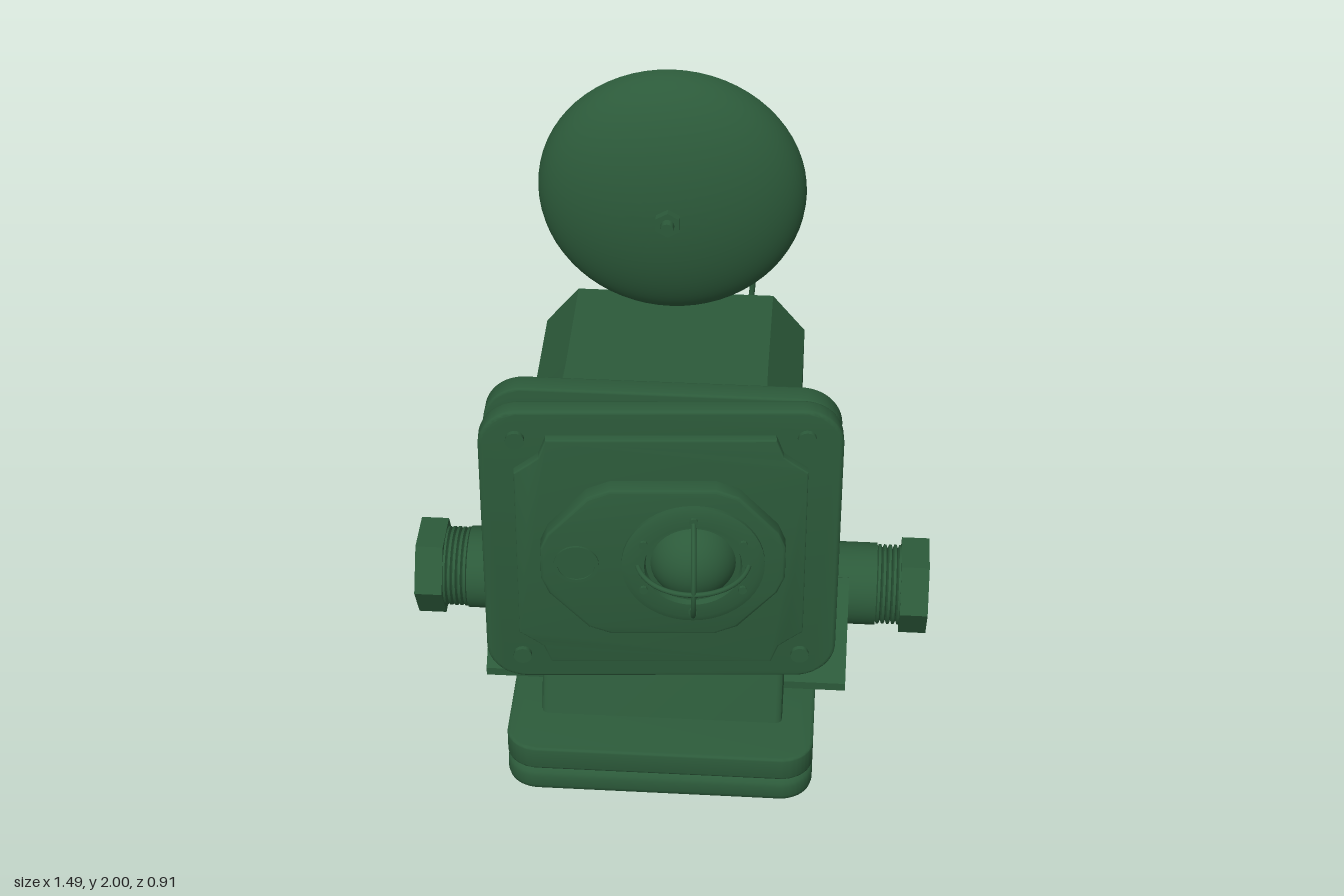
import * as THREE from 'three';
import { toCreasedNormals } from 'three/addons/utils/BufferGeometryUtils.js';

const green = new THREE.MeshStandardMaterial({ color: 0x2c5a3a, side: THREE.DoubleSide });

function add(parent, name, geo, x = 0, y = 0, z = 0) {
  const m = new THREE.Mesh(geo, green);
  m.name = name;
  m.position.set(x, y, z);
  parent.add(m);
  return m;
}

// Rounded rectangle centred on the origin
function roundRect(w, h, r) {
  const s = new THREE.Shape(), q = Math.PI / 2;
  [[1, 1], [-1, 1], [-1, -1], [1, -1]].forEach(([sx, sy], i) =>
    s.absarc(sx * (w / 2 - r), sy * (h / 2 - r), r, i * q, (i + 1) * q, false));
  s.closePath();
  return s;
}

const polygon = (pts) => new THREE.Shape(pts.map((p) => new THREE.Vector2(...p)));
const ngon = (n, r, a = 0) => Array.from({ length: n }, (_, i) =>
  [r * Math.cos(a + (i * 2 * Math.PI) / n), r * Math.sin(a + (i * 2 * Math.PI) / n)]);

// Extrusion from z = 0 to z = depth, with an optional bevel kept inside the outline
function plate(shape, depth, bevel = 0) {
  const g = new THREE.ExtrudeGeometry(shape, {
    depth: depth - 2 * bevel, bevelEnabled: bevel > 0, bevelSize: bevel, bevelThickness: bevel,
    bevelOffset: -bevel, bevelSegments: 3, curveSegments: 10,
  });
  g.translate(0, 0, bevel);
  return toCreasedNormals(g, 0.6);
}

// Turned part whose axis runs along z; profile is [radius, z]
const turned = (pts, seg = 32) => toCreasedNormals(
  new THREE.LatheGeometry(pts.map((p) => new THREE.Vector2(...p)), seg).rotateX(Math.PI / 2), 0.6);
const rod = (r, z0, z1, seg = 20) => turned([[0, z0], [r, z0], [r, z1], [0, z1]], seg);

// Closed solid through matching cross-sections, each { z, pts }
function loft(sections) {
  const pos = [], n = sections[0].pts.length;
  const at = (s, i) => [...sections[s].pts[i % n], sections[s].z];
  for (let s = 0; s < sections.length - 1; s++)
    for (let i = 0; i < n; i++) {
      const a = at(s, i), b = at(s, i + 1), c = at(s + 1, i + 1), d = at(s + 1, i);
      pos.push(...a, ...b, ...c, ...a, ...c, ...d);
    }
  const e = sections.length - 1;
  for (let i = 1; i < n - 1; i++)
    pos.push(...at(0, 0), ...at(0, i + 1), ...at(0, i), ...at(e, 0), ...at(e, i), ...at(e, i + 1));
  const g = new THREE.BufferGeometry();
  g.setAttribute('position', new THREE.Float32BufferAttribute(pos, 3));
  g.computeVertexNormals();
  return g;
}

const chamfered = (w, y0, y1, cx, top, bot) => [
  [w, y0 + bot], [w, y1 - top], [w - cx, y1], [cx - w, y1],
  [-w, y1 - top], [-w, y0 + bot], [cx - w, y0], [w - cx, y0]];

function buildBase(g) {
  const slab = (w, d, h, bevel) => plate(roundRect(w, d, 0.09), h, bevel).rotateX(-Math.PI / 2);
  add(g, 'baseFoot', slab(0.86, 0.75, 0.08, 0.025), 0, 0, -0.035);
  add(g, 'baseGroove', slab(0.83, 0.72, 0.03), 0, 0.07, -0.035);
  add(g, 'basePlate', slab(0.86, 0.75, 0.075, 0.008), 0, 0.085, -0.035);
  // Side outline [-z, y] extruded across x
  const side = polygon([[-0.19, 0.15], [0.37, 0.15], [0.39, 0.3], [0.38, 0.43], [-0.1, 0.43]]);
  add(g, 'pedestal', plate(side, 0.68, 0.02).rotateY(Math.PI / 2), -0.34);
}

function buildArms(g) {
  const gusset = polygon([[-0.035, 0.16], [0.33, 0.16], [0.33, 0.3], [0.2, 0.385], [0.13, 0.35], [-0.035, 0.185]]);
  const nutShape = polygon(ngon(6, 0.14));
  nutShape.holes.push(new THREE.Path(ngon(6, 0.108).reverse().map((p) => new THREE.Vector2(...p))));
  for (const s of [1, -1]) {
    add(g, 'gusset', plate(gusset, 0.18).rotateY(Math.PI / 2), s > 0 ? 0.335 : -0.515);
    const arm = new THREE.Group();
    arm.name = 'cableGland';
    arm.position.set(0, 0.295, -0.29);
    arm.rotation.y = (s * Math.PI) / 2;
    g.add(arm);
    add(arm, 'pipe', rod(0.12, 0, 0.595, 36));
    const thread = [[0, 0.58]];
    for (let i = 0; i < 5; i++) {
      const z = 0.595 + i * 0.015;
      thread.push([0.105, z], [0.116, z + 0.004], [0.116, z + 0.011], [0.105, z + 0.015]);
    }
    add(arm, 'thread', turned([...thread, [0, 0.67]], 36));
    add(arm, 'glandNut', plate(nutShape, 0.08), 0, 0, 0.665);
    add(arm, 'glandPlug', rod(0.115, 0.665, 0.69, 6));
  }
}

function buildHousing(g) {
  const oct = chamfered(0.36, 0.42, 1.22, 0.09, 0.11, 0.04);
  add(g, 'housing', loft([
    { z: -0.39, pts: oct }, { z: -0.03, pts: oct },
    { z: 0.11, pts: chamfered(0.28, 0.42, 1.22, 0.008, 0.008, 0.008) }]));
  add(g, 'flange', plate(roundRect(0.945, 0.89, 0.11), 0.062, 0.006), 0, 0.82, 0.104);
  add(g, 'gasket', plate(roundRect(0.46, 0.8, 0.05), 0.03), 0, 0.82, 0.16);
  // Mounting bosses on the back, each with a blind hole
  const boss = turned([[0.07, 0], [0.058, -0.06], [0.032, -0.06], [0.032, -0.02], [0, -0.02]], 24);
  for (const x of [-0.265, 0.265]) for (const y of [0.645, 1.025]) add(g, 'mountingBoss', boss, x, y, -0.39);
}

function buildDoor(g) {
  const door = new THREE.Group();
  door.name = 'door';
  door.position.set(0, 0.82, 0.195);
  door.rotation.y = 0.07;
  g.add(door);
  add(door, 'doorSlab', plate(roundRect(0.955, 0.9, 0.11), 0.055, 0.01));

  // Raised panel, cut back at the corners around the screws
  const q = [[0.385, 0.27], [0.345, 0.3], [0.32, 0.32], [0.3, 0.375]];
  const rev = [...q].reverse();
  const panel = [...q, ...rev.map(([x, y]) => [-x, y]), ...q.map(([x, y]) => [-x, -y]), ...rev.map(([x, y]) => [x, -y])];
  add(door, 'doorPanel', plate(polygon(panel), 0.035, 0.004), 0, 0, 0.045);
  for (const x of [-0.38, 0.38]) for (const y of [-0.365, 0.365])
    add(door, 'doorScrew', rod(0.025, 0.05, 0.068, 16), x, y);

  const top = [[0.325, 0.05], [0.305, 0.1], [0.2, 0.218], [0.14, 0.242], [-0.14, 0.242], [-0.2, 0.218], [-0.305, 0.1], [-0.325, 0.05]];
  const bottom = top.map(([x, y]) => [-x, -y]);
  add(door, 'facePlate', plate(polygon([...top, ...bottom]), 0.055, 0.008), 0.005, 0.003, 0.07);
  add(door, 'buttonRing', turned([[0.06, 0.12], [0.06, 0.131], [0.05, 0.131], [0.05, 0.127], [0, 0.127]]), -0.225, 0.005);

  // Lamp with its guard
  const lamp = new THREE.Group();
  lamp.name = 'lamp';
  lamp.position.set(0.085, 0.008, 0);
  door.add(lamp);
  add(lamp, 'lampFlange', turned([[0.19, 0.12], [0.19, 0.135], [0.172, 0.142], [0.13, 0.142], [0.125, 0.12]], 48));
  add(lamp, 'lampGlobe', new THREE.SphereGeometry(0.122, 36, 24), 0, 0, 0.08);
  for (const [x, y] of ngon(6, 0.152, Math.PI / 6)) add(lamp, 'lampScrew', rod(0.012, 0.135, 0.15, 10), x, y);
  for (const turn of [0, Math.PI / 2]) {
    const hoop = add(lamp, 'guardHoop', new THREE.TorusGeometry(0.15, 0.007, 8, 40, Math.PI).rotateX(Math.PI / 2), 0, 0, 0.11);
    hoop.rotation.z = turn;
  }
}

function buildBell(g) {
  const bell = new THREE.Group();
  bell.name = 'bell';
  bell.position.set(0, 1.645, 0);
  g.add(bell);
  // Shell of half an ellipse: outside from rim to crown, then back along the inside
  const shell = [], N = 18;
  for (let i = 0; i <= N; i++) {
    const a = (i / N) * Math.PI / 2;
    shell.push([0.355 * Math.cos(a), -0.24 + 0.167 * Math.sin(a)]);
  }
  for (let i = N; i >= 0; i--) {
    const a = (i / N) * Math.PI / 2;
    shell.push([0.345 * Math.cos(a), -0.24 + 0.155 * Math.sin(a)]);
  }
  shell.push(shell[0]);
  add(bell, 'gong', turned(shell, 64));
  add(bell, 'gongNut', rod(0.036, -0.08, -0.053, 6));
  add(bell, 'gongBolt', rod(0.018, -0.06, -0.03, 16));
  add(bell, 'gongRod', rod(0.027, -0.42, -0.08));

  // Upright strap with a round top
  const strap = new THREE.Shape();
  strap.moveTo(-0.055, 0.92).lineTo(0.055, 0.92).lineTo(0.055, 1.65);
  strap.absarc(0, 1.65, 0.055, 0, Math.PI, false);
  strap.closePath();
  add(g, 'strap', plate(strap, 0.014), 0, 0, -0.408);
  for (const [x, y] of [[-0.027, 0.97], [0.027, 0.97], [0, 1.15]]) add(g, 'strapRivet', rod(0.011, -0.412, -0.4, 10), x, y);

  // Hammer, its bent wire and the pivot on the back
  const path = new THREE.CatmullRomCurve3([
    [0.28, 1.63, -0.22], [0.27, 1.6, -0.27], [0.25, 1.5, -0.34], [0.215, 1.27, -0.42],
    [0.205, 1.17, -0.425], [0.16, 1.0, -0.42], [0.14, 0.98, -0.41]].map((p) => new THREE.Vector3(...p)));
  add(g, 'hammerWire', new THREE.TubeGeometry(path, 48, 0.008, 8));
  add(g, 'hammerHead', new THREE.CylinderGeometry(0.026, 0.026, 0.1, 20).rotateZ(Math.PI / 2), 0.28, 1.63, -0.22);
  add(g, 'hammerPivot', new THREE.BoxGeometry(0.035, 0.045, 0.06), 0.13, 0.98, -0.418);
  add(g, 'hammerPin', new THREE.CylinderGeometry(0.01, 0.01, 0.1, 12).rotateZ(Math.PI / 2), 0.16, 0.985, -0.425);
}

export function createModel() {
  const g = new THREE.Group();
  g.name = 'bellAndLampUnit';
  buildBase(g);
  buildArms(g);
  buildHousing(g);
  buildDoor(g);
  buildBell(g);
  return g;
}
